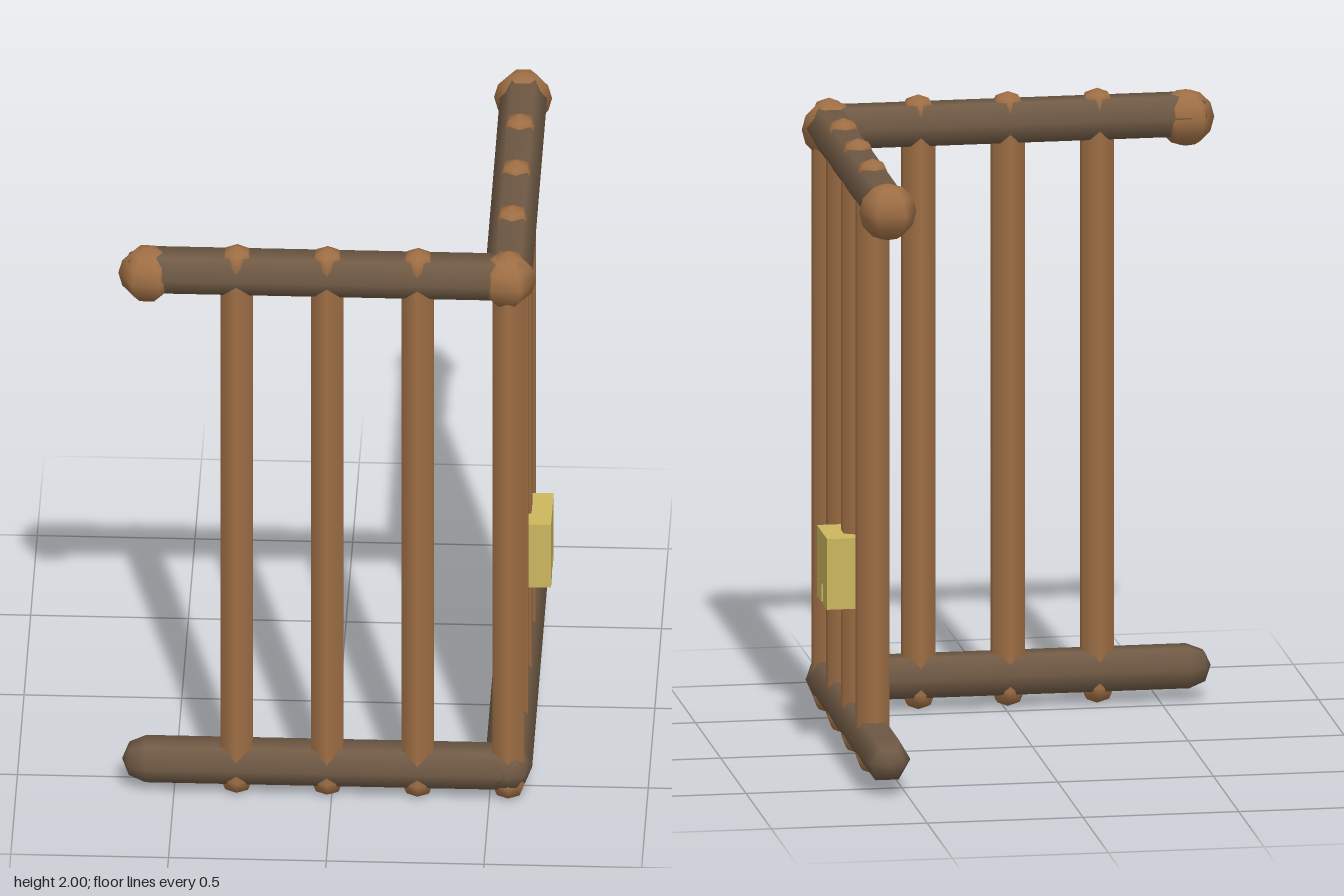
import * as THREE from 'three';

const material = (name, color) => {
  const m = new THREE.MeshStandardMaterial({ color });
  m.name = name;
  return m;
};

export function createModel() {
  const model = new THREE.Group();
  model.name = 'cornerRailing';
  const postWood = material('warm wood', 0x9f6f45);
  const barWood = material('dark wood', 0x705a45);
  const yellow = material('pale yellow', 0xcbb75e);

  const add = (name, geometry, mat, x, y, z) => {
    const mesh = new THREE.Mesh(geometry, mat);
    mesh.name = name;
    mesh.position.set(x, y, z);
    model.add(mesh);
  };
  // six-sided rod with rounded ends, upright
  const rod = (radius, length) => new THREE.CapsuleGeometry(radius, length - 2 * radius, 2, 6);

  const cornerX = 0.56, cornerZ = 0.573, step = 0.287;

  // upright posts: one at the corner, three along each wing
  const post = rod(0.058, 2).rotateY(Math.PI / 6);
  add('cornerPost', post, postWood, cornerX, 1, cornerZ);
  for (let i = 1; i <= 3; i++) {
    add('frontPost', post, postWood, cornerX - i * step, 1, cornerZ);
    add('sidePost', post, postWood, cornerX, 1, cornerZ - i * step);
  }

  // horizontal bars, bottom and top
  const frontBar = rod(0.075, 1.3).rotateY(Math.PI / 6).rotateZ(Math.PI / 2);
  const sideBar = rod(0.075, 1.3).rotateX(Math.PI / 2);
  for (const y of [0.11, 1.905]) {
    add('frontBar', frontBar, barWood, -0.015, y, cornerZ - 0.003);
    add('sideBar', sideBar, barWood, cornerX, y, 0);
  }

  // knobs on the top bars
  const knob = new THREE.SphereGeometry(0.092, 6, 6);
  add('cornerKnob', knob, postWood, cornerX - 0.005, 1.898, cornerZ);
  add('frontKnob', knob, postWood, -0.585, 1.893, cornerZ);
  add('sideKnob', knob, postWood, cornerX - 0.002, 1.893, -0.577);

  // lock box with a keyhole slot in its lower edge
  const face = new THREE.Shape();
  [[-0.1, 0], [-0.015, 0], [-0.015, 0.06], [0, 0.072], [0.015, 0.06], [0.015, 0],
    [0.1, 0], [0.1, 0.23], [-0.1, 0.23]].forEach(([u, v], i) => (i ? face.lineTo(u, v) : face.moveTo(u, v)));
  const box = new THREE.ExtrudeGeometry(face, { depth: 0.105, bevelEnabled: false }).rotateY(Math.PI / 2);
  add('lockBox', box, yellow, 0.57, 0.493, 0);

  return model;
}
